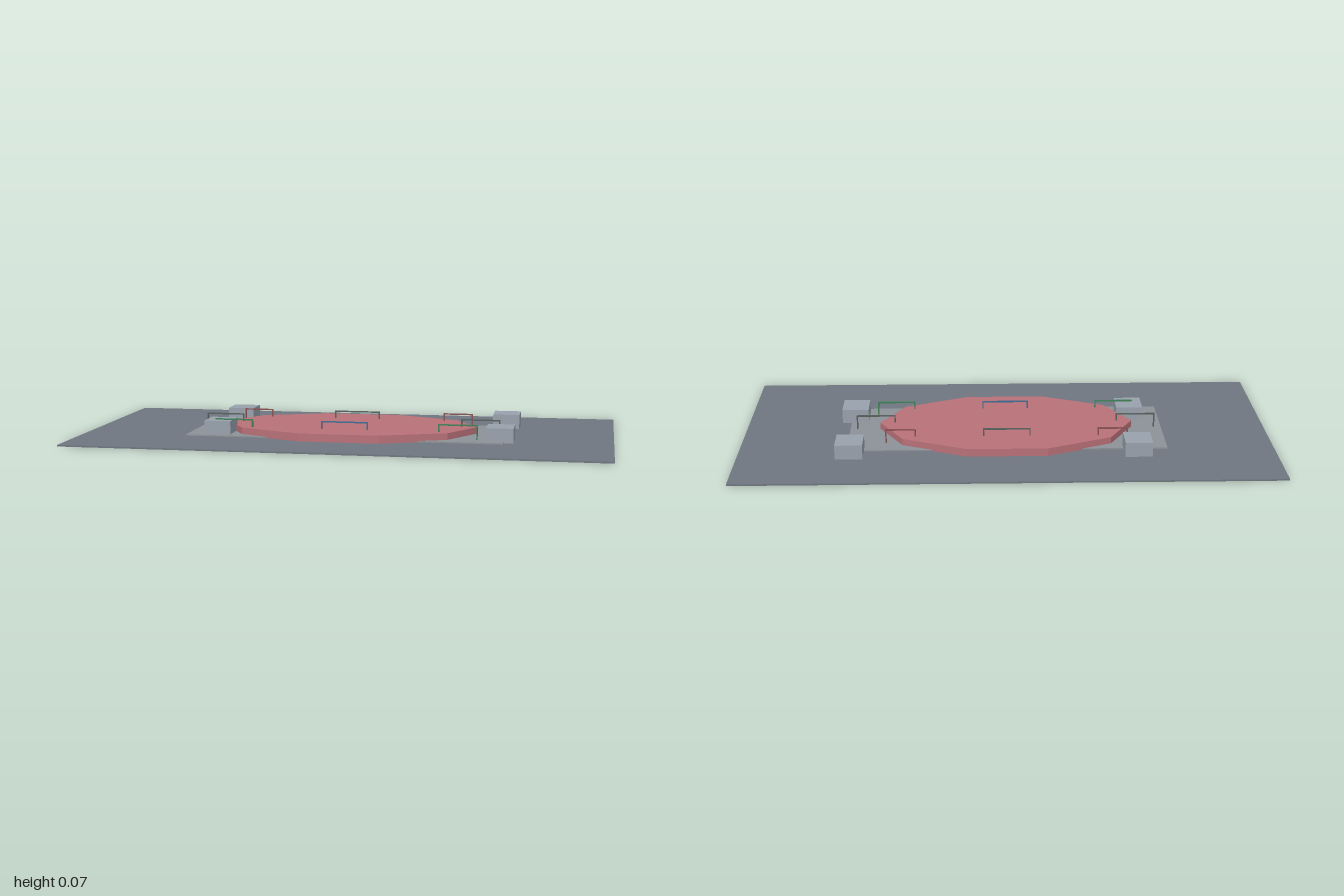
import * as THREE from 'three';

const mat = (color) => new THREE.MeshStandardMaterial({ color, flatShading: true });

export function createModel() {
  const group = new THREE.Group();
  const baseMat = mat(0x6f7680);
  const padMat = mat(0x8b9197);
  const stageMat = mat(0xb87078);
  const blockMat = mat(0x98a1ac);

  // Box spanning y0..y1, centred on x, z
  function box(name, w, d, y0, y1, x, z, material, parent = group) {
    const mesh = new THREE.Mesh(new THREE.BoxGeometry(w, y1 - y0, d), material);
    mesh.position.set(x, (y0 + y1) / 2, z);
    mesh.name = name;
    parent.add(mesh);
    return mesh;
  }

  // Thin ground sheet with a paler pad on it
  const ground = 0.006;
  box('ground', 2, 1, 0, ground, 0, 0, baseMat);
  box('pad', 1.2, 0.426, ground, 0.011, 0, -0.002, padMat);

  // Ten-sided oval stage, with corners at both ends of the long axis
  const oval = new THREE.CylinderGeometry(1, 1, 1, 10);
  oval.rotateY(Math.PI / 2);
  oval.scale(0.485, 0.036 - ground, 0.284);
  const stage = new THREE.Mesh(oval, stageMat);
  stage.name = 'ovalStage';
  stage.position.set(0, (0.036 + ground) / 2, -0.001);
  group.add(stage);

  // Four corner blocks
  for (const x of [-0.485, 0.585])
    for (const z of [-0.233, 0.126])
      box('cornerBlock', 0.102, 0.108, ground, 0.061, x, z, blockMat);

  // Thin frames: two posts and a crossbar each
  const bar = 0.005;
  const top = 0.066;
  function frame(x, z, width, color) {
    const f = new THREE.Group();
    f.name = 'barFrame';
    f.position.set(x, 0, z);
    const m = mat(color);
    for (const s of [-1, 1])
      box('post', bar, bar, ground, top - bar, s * (width - bar) / 2, 0, m, f);
    box('crossbar', width, bar, top - bar, top, 0, 0, m, f);
    group.add(f);
  }
  const green = 0x3f8055, blue = 0x3f6a90, red = 0x8a5050, grey = 0x55605c;
  frame(0, -0.144, 0.18, grey);
  frame(0, 0.143, 0.18, blue);
  for (const s of [-1, 1]) {
    frame(s * 0.4, -0.144, 0.115, red);
    frame(s * 0.5, 0, 0.15, grey);
    frame(s * 0.428, 0.143, 0.148, green);
  }
  return group;
}
